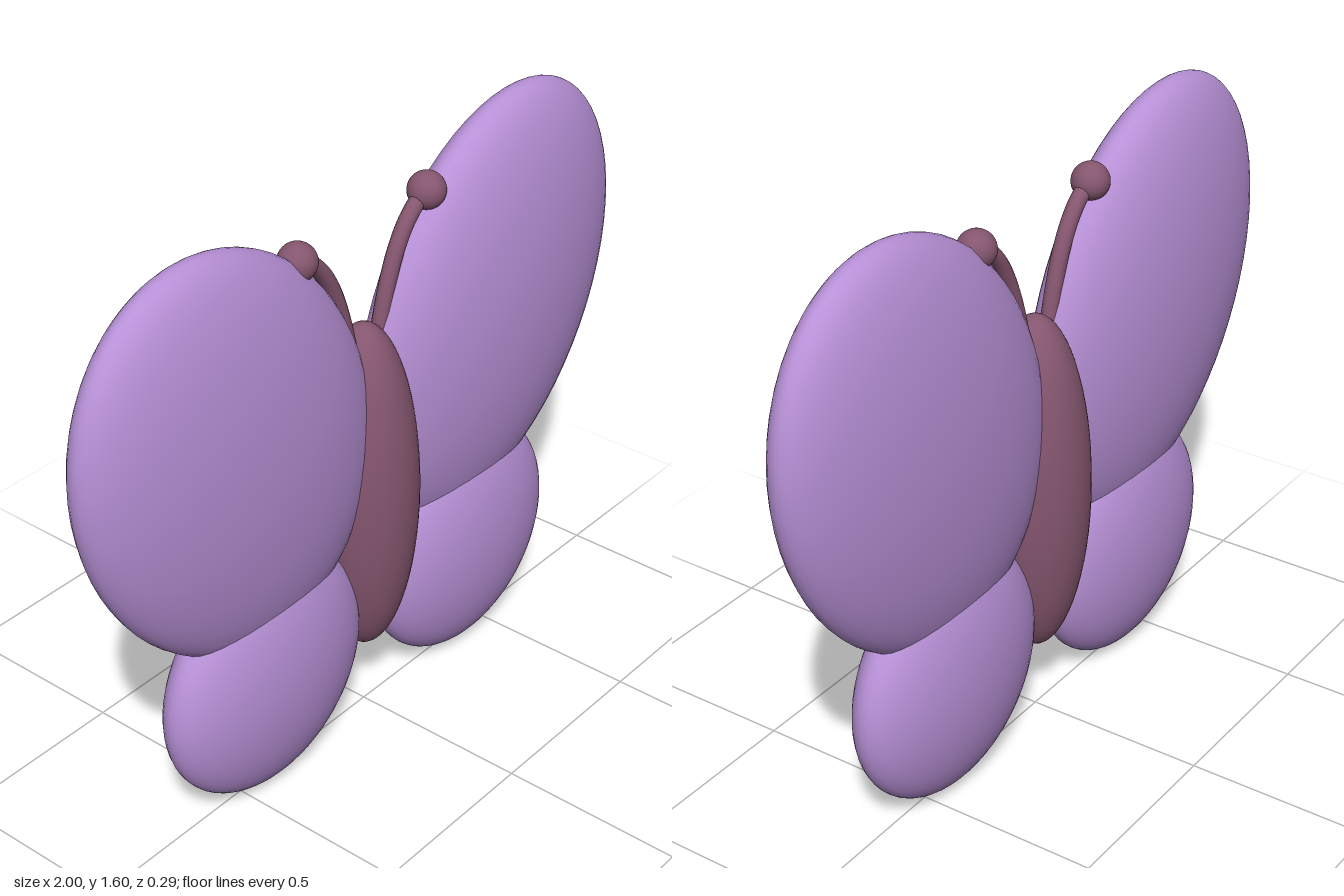
import * as THREE from 'three';

const wingMaterial = new THREE.MeshStandardMaterial({ color: 0xb790d6 });
const bodyMaterial = new THREE.MeshStandardMaterial({ color: 0x85566f });

// Smooth ellipsoid with given centre, radii and tilt about z
function ellipsoid(name, material, centre, radii, tilt = 0) {
  const mesh = new THREE.Mesh(new THREE.SphereGeometry(1, 48, 32), material);
  mesh.name = name;
  mesh.position.set(...centre);
  mesh.scale.set(...radii);
  mesh.rotation.z = tilt;
  return mesh;
}

function createAntenna(side, label) {
  const antenna = new THREE.Group();
  antenna.name = label + 'Antenna';
  const curve = new THREE.QuadraticBezierCurve3(
    new THREE.Vector3(side * 0.05, 1.08, 0),
    new THREE.Vector3(side * 0.11, 1.4, 0),
    new THREE.Vector3(side * 0.243, 1.44, 0)
  );
  const stalk = new THREE.Mesh(new THREE.TubeGeometry(curve, 24, 0.022, 12), bodyMaterial);
  stalk.name = label + 'AntennaStalk';
  const tip = ellipsoid(label + 'AntennaTip', bodyMaterial, [side * 0.243, 1.44, 0], [0.05, 0.05, 0.05]);
  antenna.add(stalk, tip);
  return antenna;
}

export function createModel() {
  const group = new THREE.Group();
  group.name = 'butterfly';

  // Slender body
  group.add(ellipsoid('body', bodyMaterial, [0, 0.685, 0], [0.145, 0.485, 0.145]));

  // Mirrored wings and antennae
  for (const [side, label] of [[1, 'left'], [-1, 'right']]) {
    group.add(
      ellipsoid(label + 'UpperWing', wingMaterial, [side * 0.5, 1.02, 0], [0.46, 0.608, 0.145], -side * 0.517),
      ellipsoid(label + 'LowerWing', wingMaterial, [side * 0.398, 0.335, 0], [0.346, 0.335, 0.13]),
      createAntenna(side, label)
    );
  }
  return group;
}
